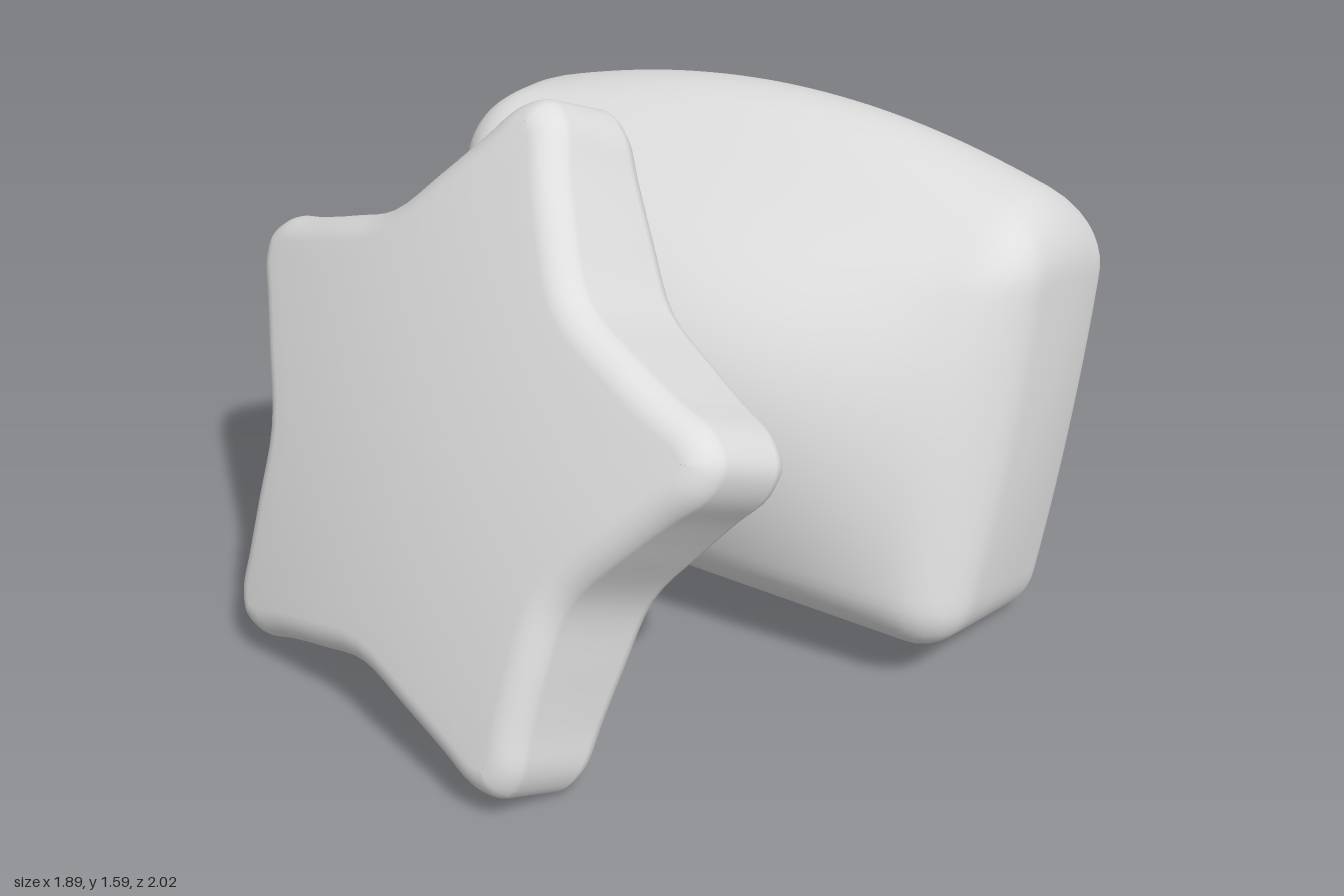
import * as THREE from 'three';
import { mergeVertices } from 'three/addons/utils/BufferGeometryUtils.js';

// Weld the vertices and give smooth normals
function smooth(geometry) {
  geometry.deleteAttribute('uv');
  geometry.deleteAttribute('normal');
  const welded = mergeVertices(geometry, 1e-4);
  welded.computeVertexNormals();
  return welded;
}

// Soft five-armed outline, counterclockwise
function starOutline(count) {
  const arm = [[0.235, 0.645], [0.145, 0.765], [0.077, 0.863], [0, 0.9],
    [-0.077, 0.863], [-0.145, 0.765], [-0.235, 0.645], [-0.362, 0.498]];
  const points = [];
  for (let k = 0; k < 5; k++) {
    const c = Math.cos(k * Math.PI * 0.4), s = Math.sin(k * Math.PI * 0.4);
    for (const [x, y] of arm) points.push(new THREE.Vector3(x * c - y * s, x * s + y * c, 0));
  }
  const curve = new THREE.CatmullRomCurve3(points, true);
  return Array.from({ length: count }, (_, i) => {
    const t = curve.getTangent(i / count);
    return { p: curve.getPoint(i / count), n: new THREE.Vector3(t.y, -t.x, 0) };
  });
}

// Star slab with a rounded rim and swollen faces: loops joined between two centre points
function starGeometry() {
  const N = 160, half = 0.155, edge = 0.075, frontDome = 0.1, backDome = 0.075;
  const outline = starOutline(N);
  const face = [0.15, 0.3, 0.45, 0.6, 0.75, 0.9];
  const rings = face.map((s) => ({ s, inset: edge, z: -half }));
  for (let i = 0; i <= 15; i++) {
    const a = -Math.PI / 2 + (Math.PI * i) / 15;
    rings.push({
      s: 1,
      inset: edge * (1 - Math.cos(a)),
      z: edge * Math.sin(a) + Math.sign(a) * (half - edge),
    });
  }
  for (const s of [...face].reverse()) rings.push({ s, inset: edge, z: half });

  const position = [], index = [];
  const backCentre = rings.length * N, frontCentre = backCentre + 1;
  const lastRing = (rings.length - 1) * N;
  rings.forEach((r, j) => outline.forEach(({ p, n }, i) => {
    const x = (p.x - n.x * r.inset) * r.s, y = (p.y - n.y * r.inset) * r.s;
    const swell = 1 - (x * x + y * y) / 0.81;
    position.push(x, y, r.z + swell * (r.z > 0 ? frontDome : -backDome));
    const a = j * N + i, b = j * N + ((i + 1) % N);
    if (j === 0) index.push(backCentre, b, a);
    if (a < lastRing) index.push(a, b, b + N, a, b + N, a + N);
    else index.push(a, b, frontCentre);
  }));
  position.push(0, 0, -half - backDome, 0, 0, half + frontDome);
  const g = new THREE.BufferGeometry();
  g.setAttribute('position', new THREE.Float32BufferAttribute(position, 3));
  g.setIndex(index);
  g.computeVertexNormals();
  return g;
}

// Rounded block with swollen front and top and a flat back
function loafGeometry() {
  const half = new THREE.Vector3(0.875, 0.56, 0.35), radius = 0.14;
  const g = new THREE.BoxGeometry(half.x * 2, half.y * 2, half.z * 2, 48, 36, 30);
  const pos = g.attributes.position;
  const inner = half.clone().subScalar(radius);
  const outer = inner.clone().negate();
  const p = new THREE.Vector3(), core = new THREE.Vector3();
  for (let i = 0; i < pos.count; i++) {
    p.fromBufferAttribute(pos, i);
    core.copy(p).clamp(outer, inner);
    p.sub(core).setLength(radius).add(core);
    const u = p.x / half.x, a = p.y / half.y, b = p.z / half.z;
    p.x += 0.035 * u * (1 - a * a) * (1 - b * b);
    p.y += 0.23 * (1 - 0.7 * u * u) * (1 - b * b) * (a + 1) / 2;
    p.z += 0.31 * (1 - u * u) * (1 - a * a) * (1 + 0.2 * a) * (b + 1) / 2;
    pos.setXYZ(i, p.x, p.y - 0.04, p.z - 0.095);
  }
  return smooth(g);
}

export function createModel() {
  const group = new THREE.Group();
  const grey = new THREE.MeshStandardMaterial({ color: 0xdedede });
  grey.name = 'light grey';

  // Star leaning back against the block
  const star = new THREE.Mesh(starGeometry(), grey);
  star.name = 'starCushion';
  star.rotation.set(-0.42, -0.1, 0, 'YXZ');
  star.position.set(-0.105, 0.722, 0.55);

  // Swollen block tipped onto its rear lower edge
  const loaf = new THREE.Mesh(loafGeometry(), grey);
  loaf.name = 'loafCushion';
  loaf.rotation.set(-0.315, 0.14, 0, 'YXZ');
  loaf.position.set(0.02, 0.665, -0.35);

  group.add(star, loaf);
  return group;
}
